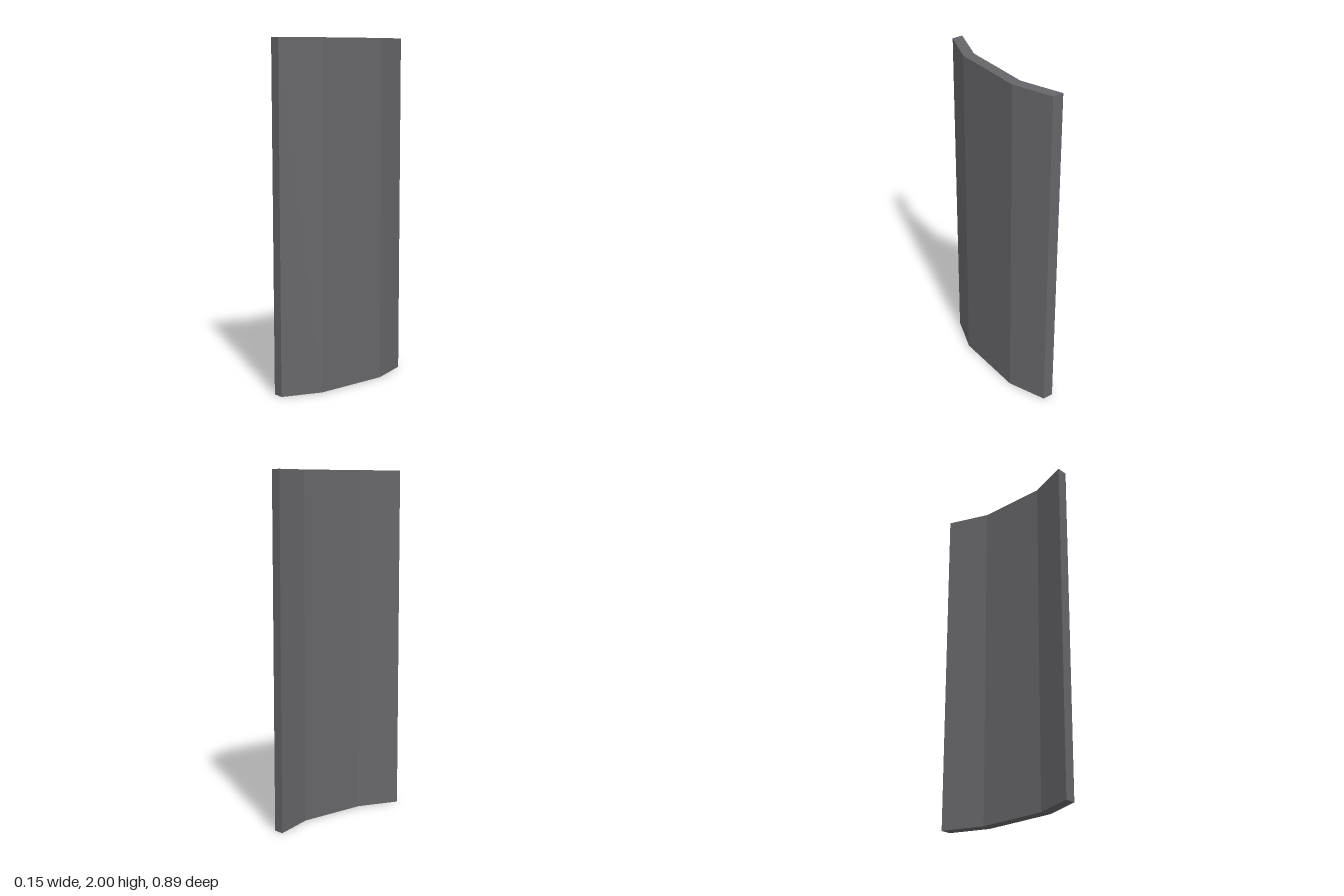
import * as THREE from 'three';

export function createModel() {
  const group = new THREE.Group();
  group.name = 'curvedPanel';

  // Half of the bent cross-section: [x, z] along the outer then the inner side
  const outer = [[-0.01, 0.447], [0.074, 0.22]];
  const inner = [[0.012, 0.207], [-0.074, 0.447]];
  const mirror = (side) => side.map(([x, z]) => [x, -z]).reverse();
  const profile = [...outer, ...mirror(outer), ...mirror(inner), ...inner];
  const shape = new THREE.Shape(profile.map(([x, z]) => new THREE.Vector2(x, -z)));

  // Upright slab, extruded from the floor to full height
  const geometry = new THREE.ExtrudeGeometry(shape, { depth: 2, bevelEnabled: false });
  geometry.rotateX(-Math.PI / 2);

  const material = new THREE.MeshStandardMaterial({ color: 0x66666a, flatShading: true });
  const panel = new THREE.Mesh(geometry, material);
  panel.name = 'panel';
  group.add(panel);
  return group;
}
